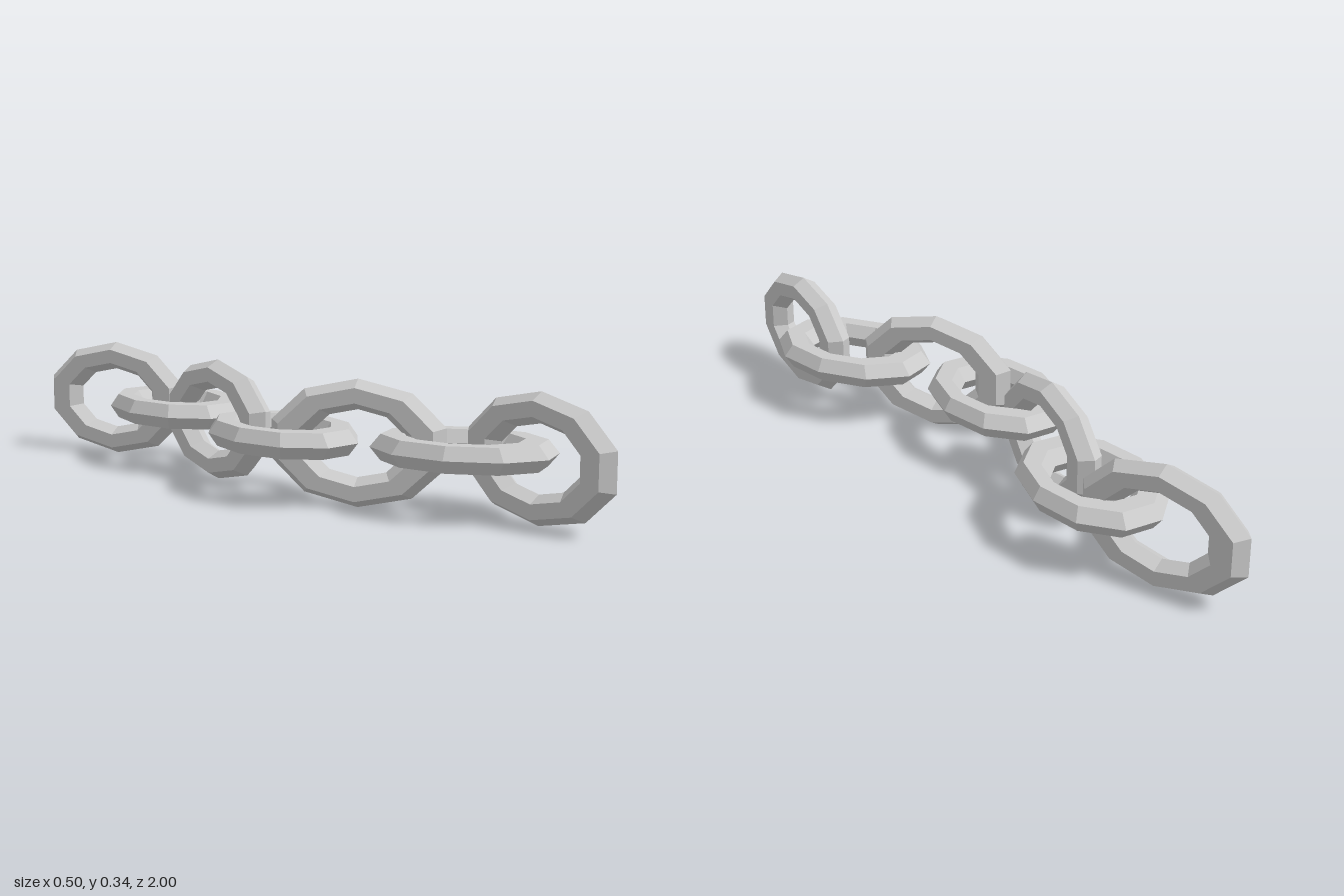
import * as THREE from 'three';

// Each link: centre x, centre z, yaw in degrees; links alternate upright / flat.
const LINKS = [
  [0.03, 0.765, -9.5],
  [0.018, 0.547, 15],
  [-0.075, 0.278, 20],
  [-0.09, 0.037, -10],
  [-0.015, -0.257, -16.5],
  [0.077, -0.497, -12.5],
  [0.098, -0.765, 10],
];
const CENTRE_Y = 0.172;

// Faceted ring stretched along z, lying in the xz plane.
function linkGeometry() {
  const g = new THREE.TorusGeometry(0.131, 0.0405, 6, 10);
  g.scale(1, 1.465, 1);
  g.rotateX(Math.PI / 2);
  return g;
}

export function createModel() {
  const chain = new THREE.Group();
  chain.name = 'chain';
  const material = new THREE.MeshStandardMaterial({ color: 0xcccccc, flatShading: true });
  const flat = linkGeometry();
  const upright = flat.clone().rotateZ(Math.PI / 2);

  LINKS.forEach(([x, z, yaw], i) => {
    const isUpright = i % 2 === 0;
    const link = new THREE.Mesh(isUpright ? upright : flat, material);
    link.name = (isUpright ? 'uprightLink' : 'flatLink') + (i + 1);
    link.position.set(x, CENTRE_Y, z);
    link.rotation.y = THREE.MathUtils.degToRad(yaw);
    chain.add(link);
  });
  return chain;
}
